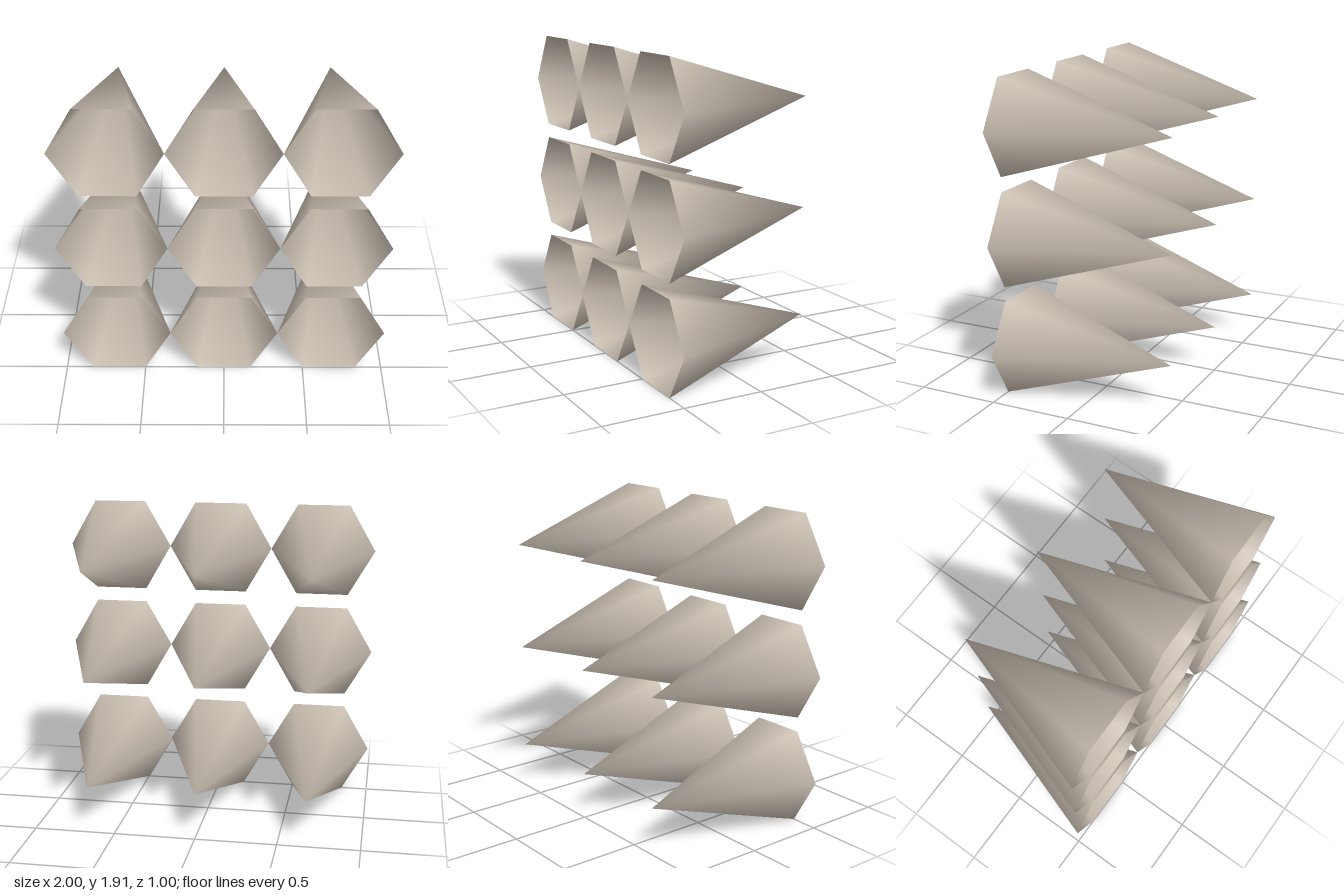
import * as THREE from 'three';
import { mergeVertices } from 'three/addons/utils/BufferGeometryUtils.js';

const RADIUS = 1 / 3;
const LENGTH = 1;
const PITCH = 2 / 3;
const HALF_HEIGHT = RADIUS * Math.sqrt(3) / 2;

// Open six-sided cone, mouth towards +z and tip towards -z, smooth shaded.
function hexConeGeometry() {
  const cone = new THREE.ConeGeometry(RADIUS, LENGTH, 6, 1, true, Math.PI / 2);
  cone.rotateX(-Math.PI / 2);
  // Drop the seam and share the tip so the normals blend all round
  cone.deleteAttribute('normal');
  cone.deleteAttribute('uv');
  const welded = mergeVertices(cone, 1e-4);
  welded.computeVertexNormals();
  return welded;
}

export function createModel() {
  const model = new THREE.Group();
  model.name = 'coneGrid';

  const beige = new THREE.MeshStandardMaterial({ color: 0xc8bdb0, side: THREE.DoubleSide });
  beige.name = 'warmBeige';
  const geometry = hexConeGeometry();

  // Three rows of three hollow cones, touching side to side
  for (let row = 0; row < 3; row++) {
    for (let col = 0; col < 3; col++) {
      const cone = new THREE.Mesh(geometry, beige);
      cone.name = `coneRow${row + 1}Column${col + 1}`;
      cone.position.set((col - 1) * PITCH, HALF_HEIGHT + row * PITCH, 0);
      model.add(cone);
    }
  }
  return model;
}
